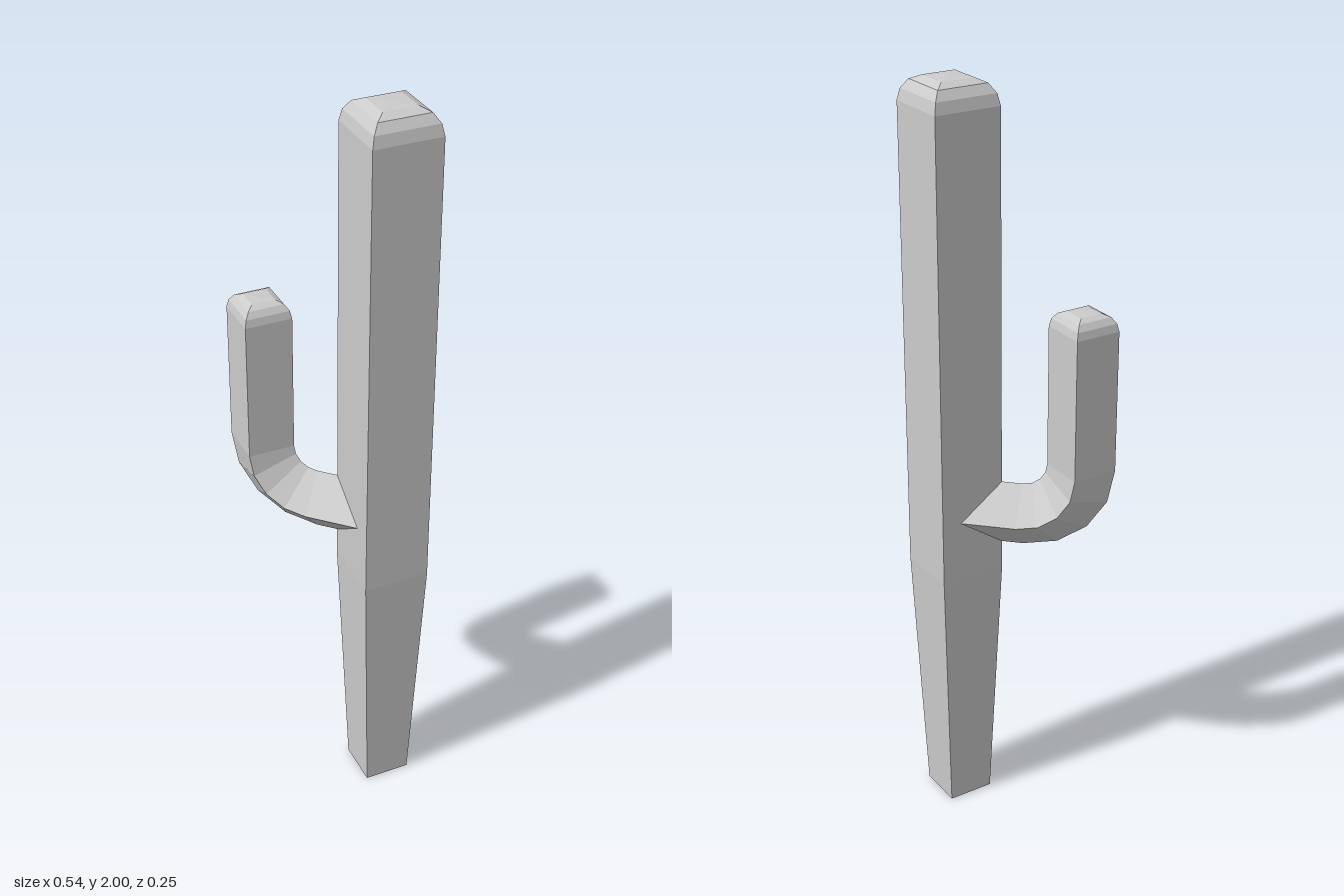
import * as THREE from 'three';

const material = new THREE.MeshStandardMaterial({ color: 0xcccccc, flatShading: true });

// Rounded tip as [radius factor, height factor] steps
const TIP = [[1, 0], [0.93, 0.45], [0.76, 0.8], [0.5, 0.97], [0, 1]];

// Four-sided column with its corners on the x and z axes, closed by a rounded tip
function column(rings, radius, tipStart, tipHeight) {
  const tip = TIP.map(([r, h]) => [r * radius, tipStart + h * tipHeight]);
  const profile = [[0, rings[0][1]], ...rings, ...tip].map(([r, y]) => new THREE.Vector2(r, y));
  return new THREE.LatheGeometry(profile, 4);
}

// Bends an upright column: runs towards -x, turns a quarter circle, then rises
function bendArm(geometry, run, center, bendRadius) {
  const arc = bendRadius * Math.PI / 2;
  const p = geometry.attributes.position;
  for (let i = 0; i < p.count; i++) {
    const s = p.getY(i) - run;
    const a = THREE.MathUtils.clamp(s / bendRadius, 0, Math.PI / 2);
    const extra = s < 0 ? s : Math.max(0, s - arc);
    const off = p.getX(i) - bendRadius;
    p.setX(i, center.x + Math.sin(a) * off - Math.cos(a) * extra);
    p.setY(i, center.y + Math.cos(a) * off + Math.sin(a) * extra);
  }
  geometry.computeVertexNormals();
  return geometry;
}

export function createModel() {
  const group = new THREE.Group();
  group.name = 'cactus';

  // Trunk, tapering towards the ground
  const trunk = new THREE.Mesh(column([[0.088, 0], [0.125, 0.71]], 0.125, 1.935, 0.065), material);
  trunk.name = 'trunk';
  trunk.position.x = 0.145;
  group.add(trunk);

  // Side arm, starting inside the trunk
  const run = 0.18, bend = 0.15, radius = 0.087, steps = 4;
  const arc = bend * Math.PI / 2;
  const rings = [[radius, 0]];
  for (let i = 0; i <= steps; i++) rings.push([radius, run + arc * i / steps]);
  const straight = column(rings, radius, run + arc + 0.375, 0.045);
  const arm = new THREE.Mesh(bendArm(straight, run, new THREE.Vector2(-0.035, 1.025), bend), material);
  arm.name = 'arm';
  group.add(arm);

  return group;
}
